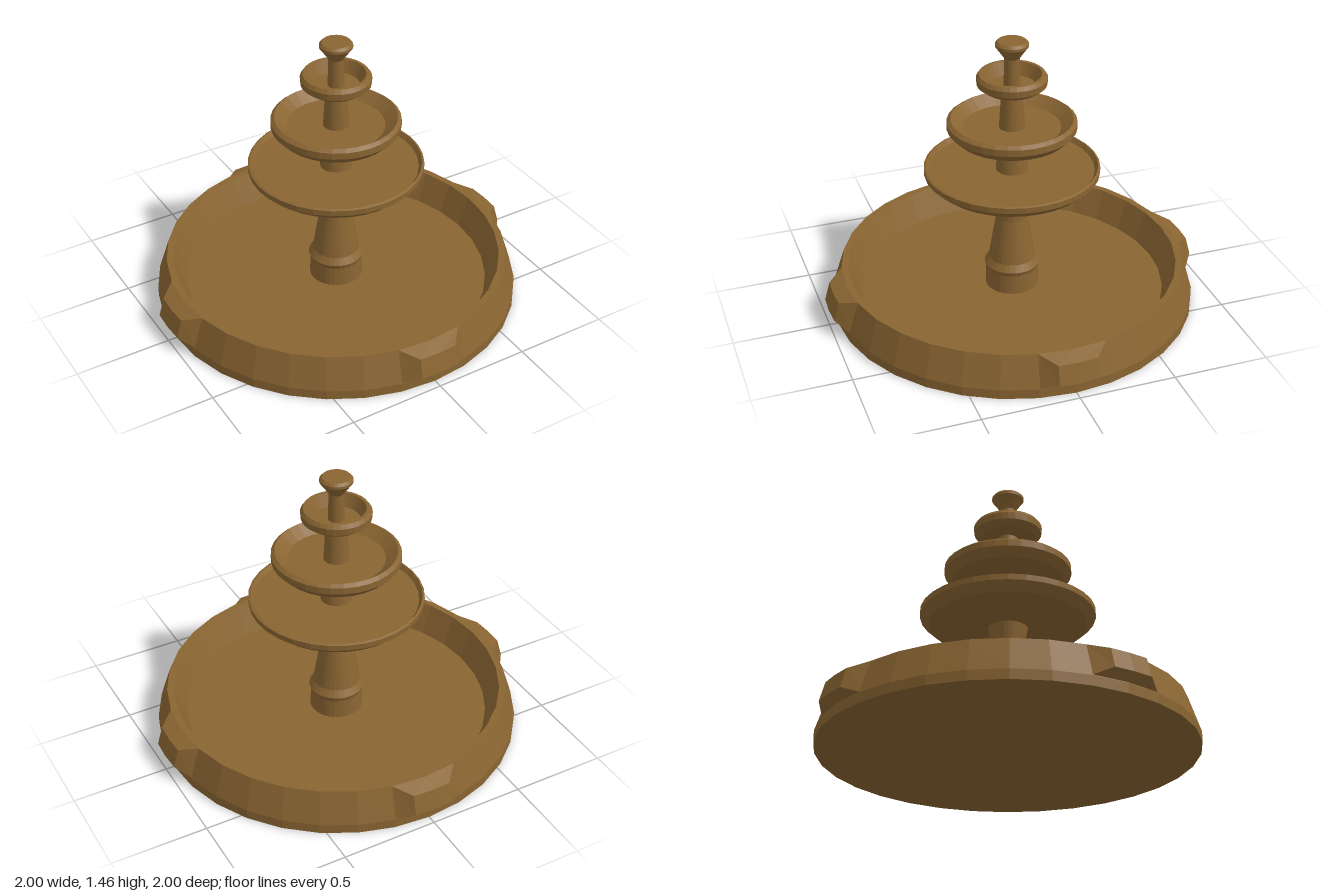
import * as THREE from 'three';

const SIDES = 32;

export function createModel() {
  const model = new THREE.Group();
  model.name = 'fountain';
  const stone = new THREE.MeshStandardMaterial({ color: 0x8a6532, flatShading: true });
  stone.name = 'brown stone';

  const add = (name, geometry) => {
    const mesh = new THREE.Mesh(geometry, stone);
    mesh.name = name;
    model.add(mesh);
    return mesh;
  };
  // Turned part from [radius, height] pairs, listed bottom to top
  const turn = (name, profile) =>
    add(name, new THREE.LatheGeometry(profile.map(([r, y]) => new THREE.Vector2(r, y)), SIDES));

  // Large basin with sloped walls and a sunken floor
  turn('basin', [[0, 0], [0.955, 0], [0.955, 0.05], [0.9, 0.22], [0.865, 0.22], [0.8, 0.065], [0, 0.065]]);

  // Pedestal and the column sections between the bowls
  turn('pedestal', [[0.14, 0.06], [0.137, 0.17], [0.145, 0.195], [0.123, 0.23], [0.083, 0.47],
    [0.081, 0.57], [0.105, 0.685]]);
  turn('lowerColumn', [[0.083, 0.74], [0.07, 0.945]]);
  turn('middleColumn', [[0.066, 0.985], [0.053, 1.2]]);

  // Three bowls, each with a bevelled rim
  turn('largeBowl', [[0, 0.675], [0.1, 0.675], [0.405, 0.692], [0.452, 0.735], [0.453, 0.765],
    [0.442, 0.77], [0.425, 0.745], [0, 0.745]]);
  turn('mediumBowl', [[0, 0.942], [0.29, 0.942], [0.331, 0.985], [0.331, 1.02], [0.312, 1.035],
    [0.25, 0.985], [0, 0.985]]);
  turn('smallBowl', [[0, 1.195], [0.1, 1.195], [0.145, 1.2], [0.177, 1.225], [0.18, 1.26],
    [0.166, 1.28], [0.15, 1.28], [0.12, 1.215], [0, 1.215]]);

  // Spout with a flared cap
  turn('spout', [[0.042, 1.21], [0.039, 1.365], [0.07, 1.41], [0.084, 1.428], [0.084, 1.442],
    [0.072, 1.455], [0, 1.455]]);

  // Raised panel on the basin wall: an inset ring plus a two-facet face
  const at = (degrees, r, y) => {
    const a = THREE.MathUtils.degToRad(degrees);
    return [r * Math.sin(a), y, r * Math.cos(a)];
  };
  const wide = 360 / SIDES, narrow = 6;
  const outer = [
    ...[-wide, 0, wide].map(a => at(a, 0.952, 0.052)),
    ...[wide, 0, -wide].map(a => at(a, 0.9, 0.22)),
  ];
  const inner = [
    ...[-narrow, 0, narrow].map(a => at(a, 1, 0.09)),
    ...[narrow, 0, -narrow].map(a => at(a, 0.972, 0.19)),
  ];
  const index = [];
  const quad = (a, b, c, d) => index.push(a, b, c, a, c, d);
  for (let i = 0; i < 6; i++) {
    const j = (i + 1) % 6;
    quad(i, j, j + 6, i + 6);
  }
  quad(6, 7, 10, 11);
  quad(7, 8, 9, 10);
  const panel = new THREE.BufferGeometry();
  panel.setAttribute('position', new THREE.Float32BufferAttribute([...outer, ...inner].flat(), 3));
  panel.setIndex(index);
  panel.computeVertexNormals();

  ['front', 'left', 'back', 'right'].forEach((side, i) => {
    add(side + 'Panel', panel).rotation.y = i * Math.PI / 2;
  });

  return model;
}
